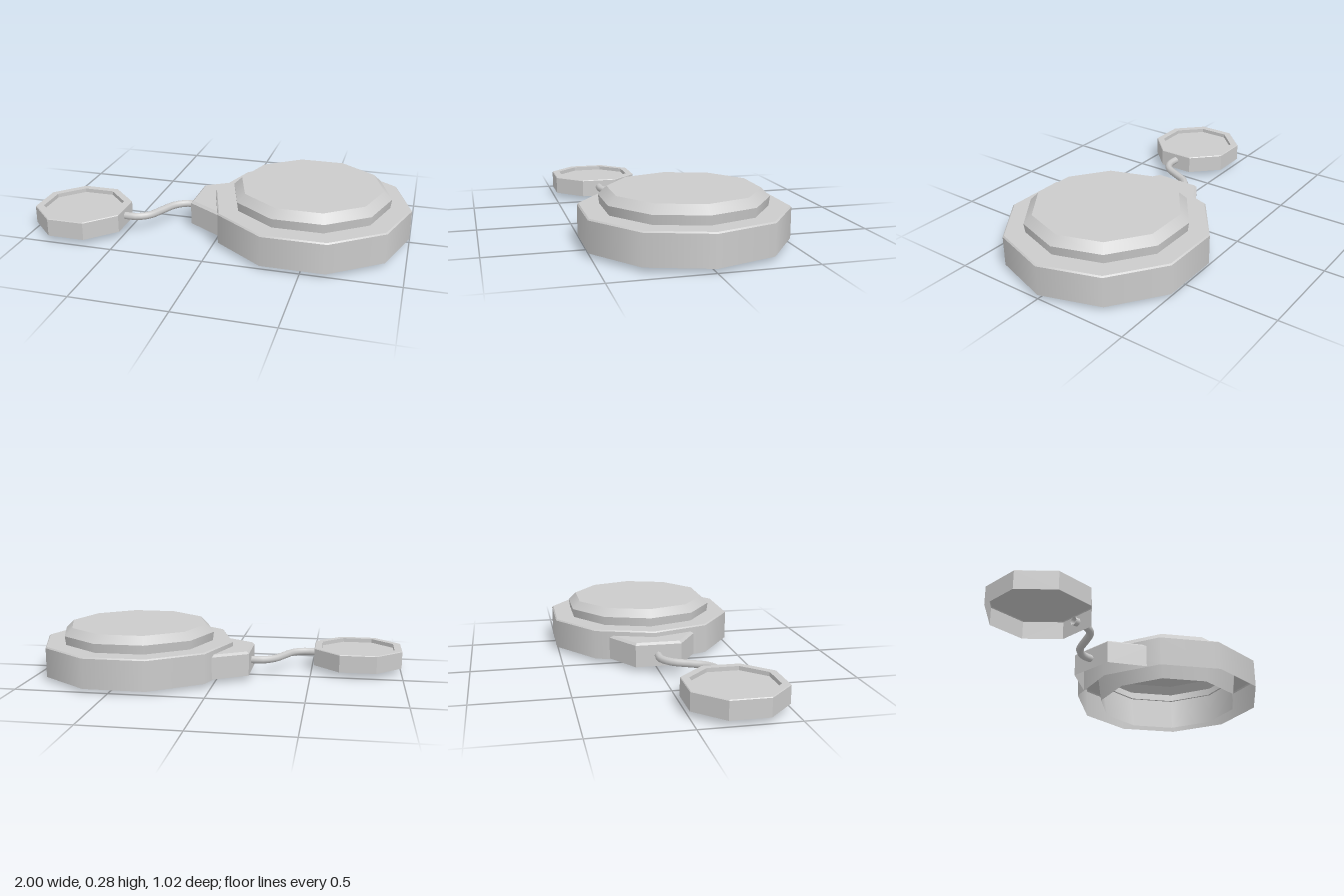
import * as THREE from 'three';

const smooth = new THREE.MeshStandardMaterial({ color: 0xcccccc, side: THREE.DoubleSide });
const faceted = new THREE.MeshStandardMaterial({ color: 0xcccccc, side: THREE.DoubleSide, flatShading: true });

// Revolved shell: one band per profile step, so the horizontal edges stay sharp
function revolvedShell(name, profile, sides, phiStart, material) {
  const group = new THREE.Group();
  group.name = name;
  for (let i = 0; i < profile.length - 1; i++) {
    const points = [profile[i], profile[i + 1]].map(([r, y]) => new THREE.Vector2(r, y));
    const band = new THREE.Mesh(new THREE.LatheGeometry(points, sides, phiStart), material);
    band.name = `${name}Band${i + 1}`;
    group.add(band);
  }
  return group;
}

// Tapered lug, open below and towards the body, lofted from level outlines
function lugGeometry() {
  const levels = [
    { y: 0.025, x: -0.175, near: 0.125, far: 0.247 },
    { y: 0.145, x: -0.175, near: 0.125, far: 0.247 },
    { y: 0.157, x: -0.162, near: 0.117, far: 0.23 },
  ];
  const positions = [];
  const index = [];
  for (const { y, x, near, far } of levels) {
    positions.push(0.02, y, -far, x, y, -near, x, y, near, 0.02, y, far);
  }
  for (let level = 0; level < levels.length - 1; level++) {
    for (let i = 0; i < 3; i++) {
      const a = level * 4 + i;
      index.push(a, a + 1, a + 5, a, a + 5, a + 4);
    }
  }
  const top = (levels.length - 1) * 4;
  index.push(top, top + 1, top + 2, top, top + 2, top + 3);
  const geometry = new THREE.BufferGeometry();
  geometry.setAttribute('position', new THREE.Float32BufferAttribute(positions, 3));
  geometry.setIndex(index);
  geometry.computeVertexNormals();
  return geometry;
}

export function createModel() {
  const model = new THREE.Group();
  model.name = 'tetheredCap';

  // Ten-sided outer skirt with a small bevel, open below
  const skirt = revolvedShell('outerSkirt',
    [[0.535, 0.021], [0.535, 0.18], [0.528, 0.187], [0.41, 0.187]], 10, Math.PI / 2, smooth);
  // Inner cup that flares upward and closes with a bevelled lid
  const cup = revolvedShell('innerCup',
    [[0.398, 0], [0.428, 0.235], [0.384, 0.277], [0, 0.277]], 10, Math.PI / 2, smooth);
  for (const part of [skirt, cup]) part.position.x = 0.465;
  model.add(skirt, cup);

  // Lug on the side of the skirt
  const lug = new THREE.Mesh(lugGeometry(), faceted);
  lug.name = 'lug';
  model.add(lug);

  // S-shaped cord
  const path = new THREE.CatmullRomCurve3([
    [-0.15, 0], [-0.235, 0], [-0.3, 0.045], [-0.345, 0.13],
    [-0.39, 0.212], [-0.45, 0.247], [-0.54, 0.247],
  ].map(([x, z]) => new THREE.Vector3(x, 0.085, z)));
  const cord = new THREE.Mesh(new THREE.TubeGeometry(path, 18, 0.021, 8), smooth);
  cord.name = 'cord';
  model.add(cord);

  // Small eight-sided cap with a raised rim and recessed panel, open below
  const smallCap = revolvedShell('smallCap',
    [[0.263, 0.03], [0.263, 0.124], [0.259, 0.128], [0.218, 0.128], [0.218, 0.106], [0, 0.106]],
    8, Math.PI / 8, faceted);
  smallCap.position.set(-0.757, 0, 0.246);
  model.add(smallCap);

  return model;
}
